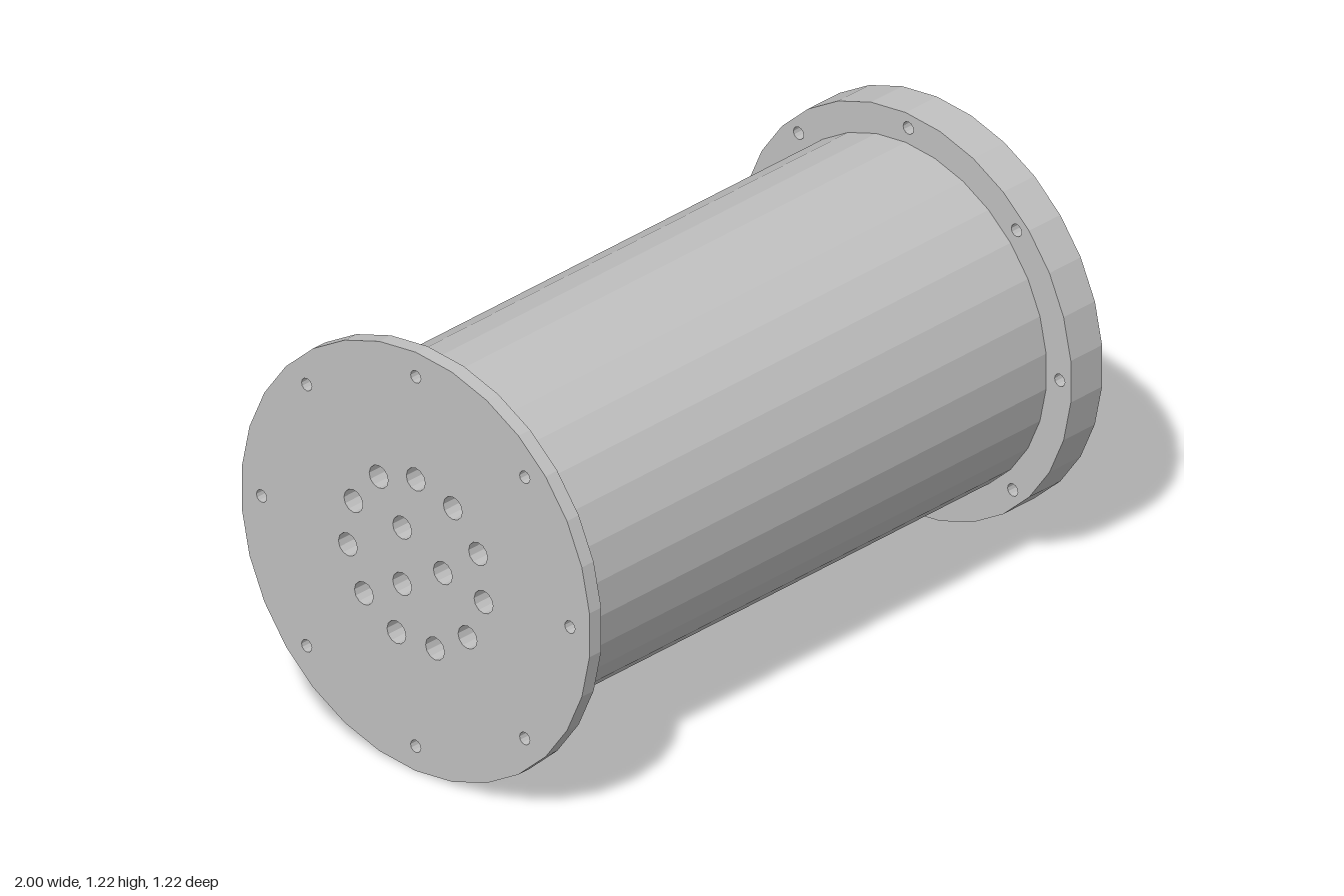
import * as THREE from 'three';

const SIDES = 30;
const AXIS_Y = 0.612;

// Closed polygon approximating a circle, first corner at the top
function circlePoints(cx, cy, r, sides) {
  return Array.from({ length: sides }, (_, i) => {
    const a = Math.PI / 2 + (i / sides) * Math.PI * 2;
    return new THREE.Vector2(cx + r * Math.cos(a), cy + r * Math.sin(a));
  });
}

// Holes spaced evenly on a pitch circle
function holeRing(count, pitch, r, startDeg) {
  return Array.from({ length: count }, (_, i) => {
    const a = THREE.MathUtils.degToRad(startDeg + (i * 360) / count);
    return circlePoints(pitch * Math.cos(a), pitch * Math.sin(a), r, 12);
  });
}

// Round plate lying along x from x0 to x1, pierced by holes
function plate(name, r, x0, x1, holes, material) {
  const shape = new THREE.Shape(circlePoints(0, 0, r, SIDES));
  for (const h of holes) shape.holes.push(new THREE.Path(h));
  const geometry = new THREE.ExtrudeGeometry(shape, { depth: x1 - x0, bevelEnabled: false });
  geometry.rotateY(Math.PI / 2);
  const mesh = new THREE.Mesh(geometry, material);
  mesh.name = name;
  mesh.position.set(x0, AXIS_Y, 0);
  return mesh;
}

export function createModel() {
  const steel = new THREE.MeshStandardMaterial({ color: 0xc0c0c0, flatShading: true });
  steel.name = 'steel grey';

  const tubeHoles = [...holeRing(11, 0.24, 0.033, 90), ...holeRing(3, 0.095, 0.033, 60)];
  const group = new THREE.Group();
  group.name = 'flangedCylinder';
  group.add(
    // perforated end with its mounting flange and narrower neck
    plate('perforatedFlange', 0.612, -1, -0.955, [...holeRing(8, 0.54, 0.018, 90), ...tubeHoles], steel),
    plate('neck', 0.412, -0.955, -0.865, tubeHoles, steel),
    // main barrel
    plate('barrel', 0.495, -0.865, 0.88, [], steel),
    // thick flange with a stepped recess
    plate('recessedFlange', 0.582, 0.88, 1, [...holeRing(8, 0.54, 0.018, 91), circlePoints(0, 0, 0.437, SIDES)], steel),
    plate('recessStep', 0.437, 0.88, 0.98, [circlePoints(0, 0, 0.427, SIDES)], steel),
    plate('recessFloor', 0.427, 0.88, 0.96, [], steel),
  );
  return group;
}
